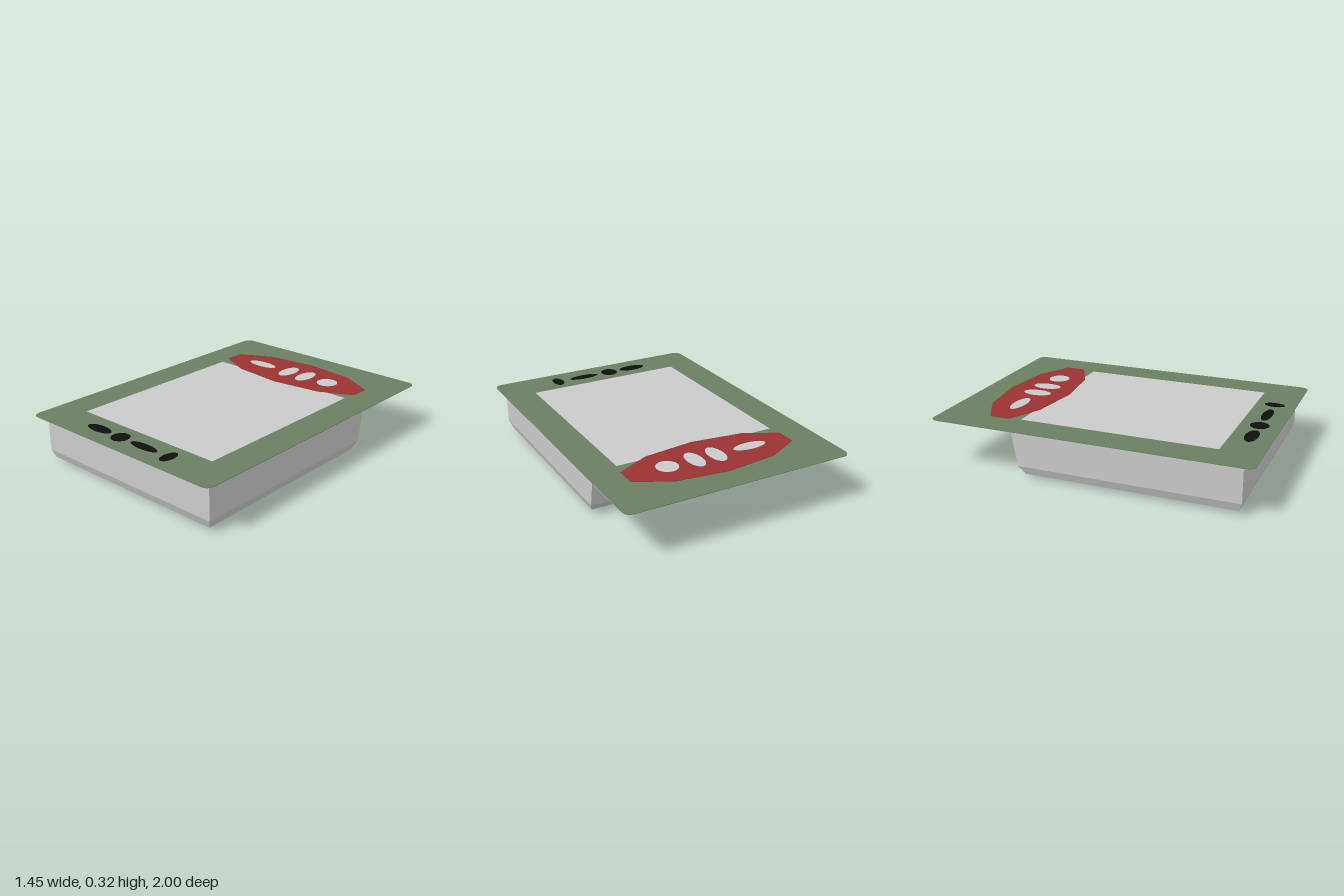
import * as THREE from 'three';

const paint = (name, color) => {
  const m = new THREE.MeshStandardMaterial({ color });
  m.name = name;
  return m;
};

export function createModel() {
  const group = new THREE.Group();
  group.name = 'blisterPack';
  const grey = paint('light grey', 0xcacaca);
  const green = paint('card green', 0x697f61);
  const red = paint('banner red', 0x9a3333);
  const black = paint('print black', 0x0f0f0f);

  const add = (name, geometry, material) => {
    const mesh = new THREE.Mesh(geometry, material);
    mesh.name = name;
    group.add(mesh);
  };
  // Lays an outline of [x, z] points flat, as a plate standing on height y
  const plate = (name, points, y, thickness, material) => {
    const shape = new THREE.Shape(points.map(([x, z]) => new THREE.Vector2(x, -z)));
    const g = new THREE.ExtrudeGeometry(shape, { depth: thickness, bevelEnabled: false });
    g.rotateX(-Math.PI / 2).translate(0, y, 0);
    add(name, g, material);
  };
  const ellipse = (cx, cz, rx, rz, n = 20) => Array.from({ length: n }, (_, i) => {
    const a = (i / n) * Math.PI * 2;
    return [cx + rx * Math.cos(a), cz - rz * Math.sin(a)];
  });

  // Tray: rectangular cross-sections [y, half width, back z, front z], bottom to top
  const rings = [
    [0, 0.6, -0.35, 0.86],
    [0.023, 0.65, -0.4, 0.91],
    [0.075, 0.67, -0.44, 0.93],
    [0.309, 0.67, -0.48, 0.93],
  ].map(([y, w, b, f]) => [[-w, y, f], [w, y, f], [w, y, b], [-w, y, b]]);
  const pos = [];
  const quad = (a, b, c, d) => pos.push(...a, ...b, ...c, ...a, ...c, ...d);
  for (let r = 0; r < rings.length - 1; r++) {
    for (let i = 0; i < 4; i++) {
      const j = (i + 1) % 4;
      quad(rings[r][i], rings[r][j], rings[r + 1][j], rings[r + 1][i]);
    }
  }
  quad(...[...rings[0]].reverse());
  quad(...rings[3]);
  const tray = new THREE.BufferGeometry();
  tray.setAttribute('position', new THREE.Float32BufferAttribute(pos, 3));
  tray.computeVertexNormals();
  add('tray', tray, grey);

  // Backing card with rounded corners and an unprinted underside
  const card = [];
  for (let q = 0; q < 4; q++) {
    const sx = q === 0 || q === 3 ? 1 : -1;
    const sz = q < 2 ? -1 : 1;
    for (let i = 0; i <= 3; i++) {
      const a = ((q + i / 3) * Math.PI) / 2;
      card.push([sx * 0.687 + 0.04 * Math.cos(a), sz * 0.95 - 0.05 * Math.sin(a)]);
    }
  }
  plate('cardUnderside', card, 0.308, 0.001, grey);
  plate('card', card, 0.309, 0.003, green);

  // Printed panel and banner
  plate('panel', [[-0.525, 0.75], [0.525, 0.75], [0.525, -0.485], [-0.525, -0.485]], 0.312, 0.001, grey);
  plate('banner', [
    [0, -0.42], [0.33, -0.46], [0.54, -0.565], [0.54, -0.69], [0.33, -0.8],
    [0, -0.84], [-0.33, -0.8], [-0.54, -0.69], [-0.54, -0.565], [-0.33, -0.46],
  ], 0.312, 0.0025, red);

  // Oval spots on the banner and along the front margin
  [[-0.275, 0.11, 0.042], [-0.043, 0.05, 0.095], [0.1, 0.05, 0.095], [0.28, 0.068, 0.068]]
    .forEach(([x, rx, rz], i) => plate(`bannerSpot${i + 1}`, ellipse(x, -0.63, rx, rz), 0.3145, 0.0015, grey));
  [[-0.263, 0.094, 0.04], [-0.082, 0.056, 0.058], [0.114, 0.104, 0.032], [0.31, 0.036, 0.064]]
    .forEach(([x, rx, rz], i) => plate(`marginSpot${i + 1}`, ellipse(x, 0.867, rx, rz), 0.312, 0.0015, black));

  return group;
}
